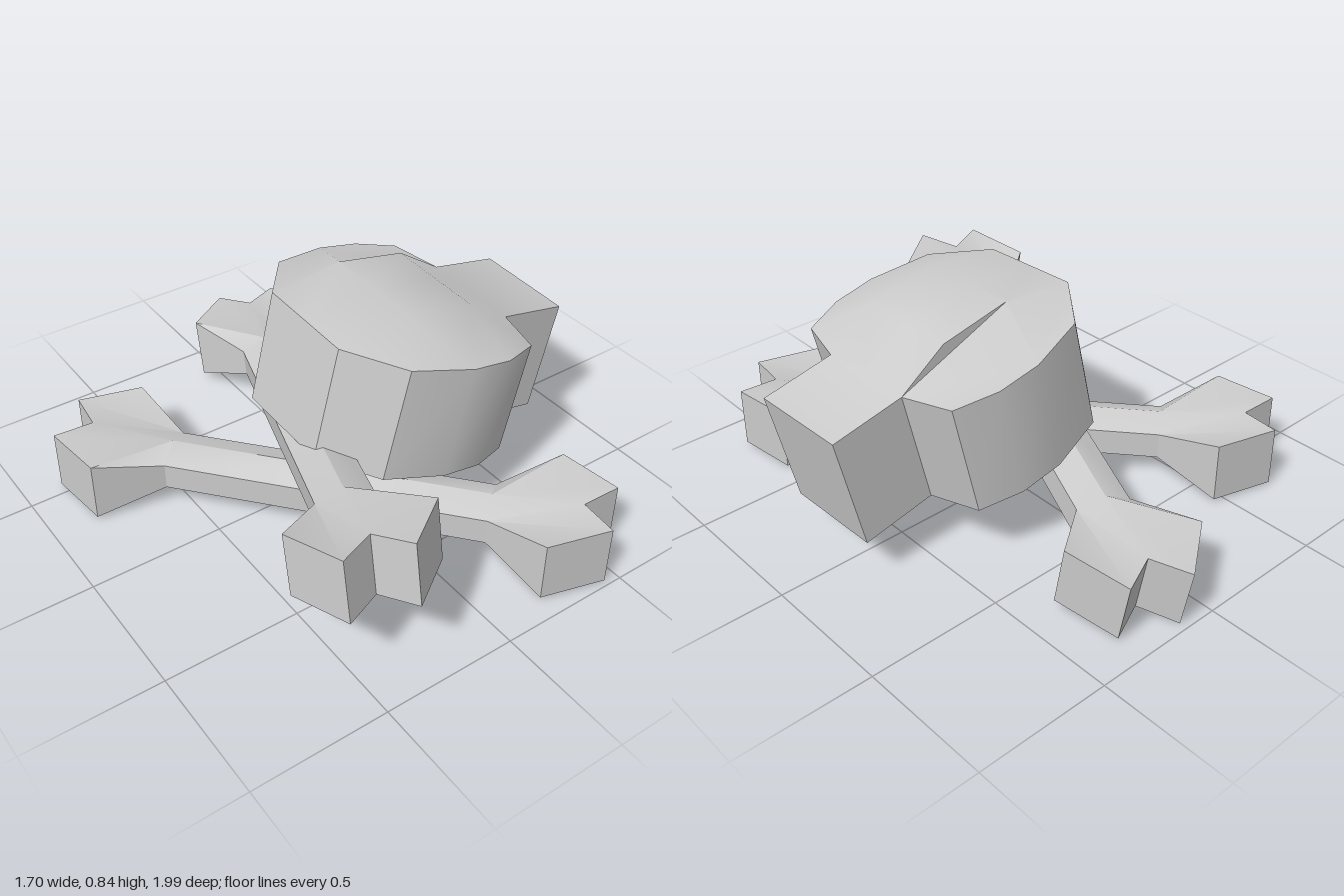
import * as THREE from 'three';
import { toCreasedNormals } from 'three/addons/utils/BufferGeometryUtils.js';

const material = new THREE.MeshStandardMaterial({ color: 0xcccccc });

// Repeat faces mirrored across one axis (0 = x, 1 = y, 2 = z), with the winding flipped.
const mirror = (faces, axis) => faces.concat(
  faces.map(f => f.map(p => p.map((c, i) => (i === axis ? -c : c))).reverse()));

// Quads joining a rim of points to the same rim at height y.
const walls = (rim, y) => rim.slice(1).map((q, i) => {
  const p = rim[i];
  return [p, q, [q[0], y, q[2]], [p[0], y, p[2]]];
});

// Fan-triangulate polygons into a mesh that is smooth except at sharp edges.
function solid(name, faces) {
  const pos = [];
  for (const f of faces)
    for (let i = 1; i < f.length - 1; i++) pos.push(...f[0], ...f[i], ...f[i + 1]);
  const geo = new THREE.BufferGeometry();
  geo.setAttribute('position', new THREE.Float32BufferAttribute(pos, 3));
  const mesh = new THREE.Mesh(toCreasedNormals(geo, 0.52), material);
  mesh.name = name;
  return mesh;
}

// Bone along z: one eighth is described, then mirrored three times.
function bone(name) {
  const ridge0 = [0, 0.09, 0], ridge1 = [0, 0.09, 0.585];
  const edge0 = [0.099, 0.05, 0], edge1 = [0.099, 0.05, 0.585];
  const knob = [0.247, 0.115, 0.8], tip = [0.111, 0.115, 1.002], notch = [0, 0.112, 0.898];
  let faces = [
    [ridge0, ridge1, edge1, edge0],
    [ridge1, notch, tip, knob, edge1],
    ...walls([edge0, edge1, knob, tip, notch], 0),
  ];
  for (const axis of [0, 1, 2]) faces = mirror(faces, axis);
  return solid(name, faces);
}

// Skull: jaw block towards +x, faceted cranium with a low dome; half built, then mirrored.
function skull() {
  const depth = -0.43, rise = 0.083;
  const rim = [
    [0.655, 0], [0.655, 0.195], [0.378, 0.195], [0.327, 0.385], [0.174, 0.44],
    [0.01, 0.445], [-0.215, 0.385], [-0.37, 0.195], [-0.37, 0],
  ].map(([x, z]) => [x, 0, z]);
  const [jawMid, jaw, r0, r1, r2, r3, r4, r5, backMid] = rim;
  const a = [0.178, rise, 0.195], b = [-0.1, rise, 0.195];
  const mid = p => [p[0], p[1], 0];
  const faces = [
    // dome sides
    [a, b, r3, r2, r1, r0],
    [b, r5, r4, r3],
    // central strip from jaw to back
    [jawMid, mid(r0), r0, jaw],
    [mid(r0), mid(a), a, r0],
    [mid(a), mid(b), b, a],
    [mid(b), backMid, r5, b],
    ...walls(rim, depth),
    // flat underside
    ...rim.slice(1).map((q, i) =>
      [[0, depth, 0], [rim[i][0], depth, rim[i][2]], [q[0], depth, q[2]]]),
  ];
  return solid('skull', mirror(faces, 2));
}

export function createModel() {
  const group = new THREE.Group();
  group.name = 'skullAndBones';

  // flat bone on the ground
  const lower = bone('lowerBone');
  lower.position.set(-0.125, 0.127, 0.15);
  lower.rotation.y = 0.706;

  // bone leaning across it
  const upper = bone('upperBone');
  upper.position.set(-0.115, 0.285, -0.025);
  upper.rotation.set(-0.174, -0.349, 0);

  // skull resting on the crossing, jaw tipped down
  const head = skull();
  head.position.set(0.2, 0.73, 0.06);
  head.rotation.set(0.035, 0, -0.21);

  group.add(lower, upper, head);
  return group;
}
